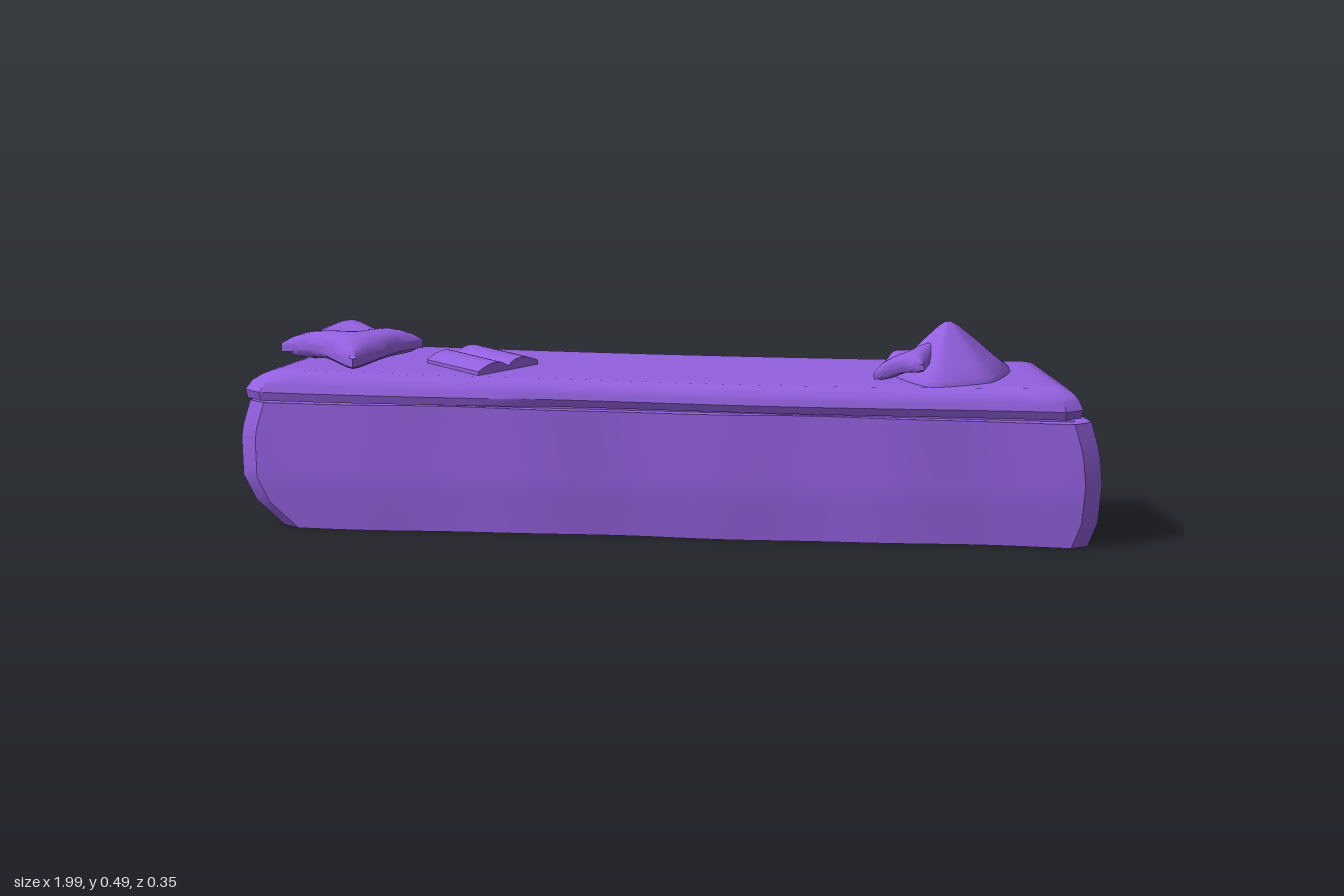
import * as THREE from 'three';
import { toCreasedNormals } from 'three/addons/utils/BufferGeometryUtils.js';

const { lerp, smoothstep } = THREE.MathUtils;
const material = new THREE.MeshStandardMaterial({ color: 0x9360df });

// Reads a height -> value profile given as [height, value] pairs
function profile(points, t) {
  for (let i = 1; i < points.length; i++) {
    const [a, va] = points[i - 1], [b, vb] = points[i];
    if (t <= b) return lerp(va, vb, (t - a) / (b - a));
  }
  return points[points.length - 1][1];
}

// Subdivided unit box whose vertices are moved by rule(u, v, w), each 0..1
function warpedBox(name, segments, rule, crease = 0.6) {
  const geometry = new THREE.BoxGeometry(1, 1, 1, ...segments);
  const p = geometry.attributes.position;
  for (let i = 0; i < p.count; i++) {
    p.setXYZ(i, ...rule(p.getX(i) + 0.5, p.getY(i) + 0.5, p.getZ(i) + 0.5));
  }
  const mesh = new THREE.Mesh(toCreasedNormals(geometry, crease), material);
  mesh.name = name;
  return mesh;
}

// Long block: straight narrow back, wide uneven front, slanted ends
function block(name, { left, right, front, back, height, wave }) {
  return warpedBox(name, [40, 10, 12], (u, v, w) => {
    const corner = 0.04 * smoothstep(w, 0.9, 1);
    const slant = Math.min(1, w / 0.93);
    const backX = 0.8 - (0.18 + profile(back, v));
    const x = lerp(-lerp(backX, profile(left, v) - corner, slant),
      lerp(backX, profile(right, v) - corner, slant), u);
    const z = lerp(profile(back, v), profile(front, v) + wave(x, v), w);
    return [x, height(x, v), z];
  });
}

// Soft pillow with a pinched edge, pulled-out corners and a dented top
function pillow(name, width, depth, thickness, dent) {
  return warpedBox(name, [14, 4, 14], (u, v, w) => {
    const a = 2 * u - 1, b = 2 * w - 1;
    const puff = Math.sqrt(Math.max(0, (1 - a ** 4) * (1 - b ** 4)));
    const hollow = 1 - dent * Math.exp(-5 * (a * a + b * b));
    const y = thickness * (0.35 + (v - 0.5) * (0.3 + 0.9 * puff * (v > 0.5 ? hollow : 0.6)));
    return [
      a * width / 2 * (0.9 + 0.1 * b * b), y + 0.1 * thickness * Math.sin(3 * a + 2 * b),
      b * depth / 2 * (0.9 + 0.1 * a * a)
    ];
  }, 0.9);
}

// Open book: two arched pages meeting in a gutter, extruded along the spine
function openBook(width, length) {
  const h = width / 2;
  const shape = new THREE.Shape();
  shape.moveTo(-h, 0);
  shape.lineTo(h, 0);
  shape.lineTo(h, 0.012);
  shape.quadraticCurveTo(h * 0.35, 0.042, 0, 0.012);
  shape.quadraticCurveTo(-h * 0.35, 0.042, -h, 0.012);
  const geometry = new THREE.ExtrudeGeometry(shape, { depth: length, bevelEnabled: false, curveSegments: 8 });
  geometry.translate(0, 0, -length / 2);
  const mesh = new THREE.Mesh(toCreasedNormals(geometry, 0.5), material);
  mesh.name = 'openBook';
  return mesh;
}

// Peaked blanket: rings between an irregular footprint and the peak
function peakedBlanket() {
  const foot = [[0.76, -0.05], [0.73, 0.07], [0.60, 0.13], [0.52, 0.05], [0.49, -0.02], [0.54, -0.11], [0.60, -0.145], [0.71, -0.14]];
  const curve = new THREE.CatmullRomCurve3(foot.map(([x, z]) => new THREE.Vector3(x, 0, z)), true, 'catmullrom', 0.3);
  const levels = [[1, 0.355], [0.97, 0.375], [0.76, 0.4], [0.46, 0.44], [0.18, 0.475], [0.06, 0.486], [0.001, 0.487]];
  const sides = 32, positions = [], index = [];
  for (const [scale, y] of levels) {
    for (let i = 0; i < sides; i++) {
      const p = curve.getPoint(i / sides);
      positions.push(lerp(0.62, p.x, scale), y, lerp(-0.01, p.z, scale));
    }
  }
  for (let r = 0; r < levels.length - 1; r++) {
    for (let i = 0; i < sides; i++) {
      const a = r * sides + i, b = r * sides + (i + 1) % sides;
      index.push(a, a + sides, b, b, a + sides, b + sides);
    }
  }
  const geometry = new THREE.BufferGeometry();
  geometry.setAttribute('position', new THREE.Float32BufferAttribute(positions, 3));
  geometry.setIndex(index);
  geometry.computeVertexNormals();
  const mesh = new THREE.Mesh(geometry, material);
  mesh.name = 'peakedBlanket';
  return mesh;
}

export function createModel() {
  const model = new THREE.Group();
  model.name = 'cushionedBench';

  // Bench body with bulging ends
  model.add(block('benchBase', {
    left: [[0, 0.9], [0.2, 0.965], [0.4, 0.995], [0.75, 1], [1, 0.98]],
    right: [[0, 0.965], [0.2, 0.99], [0.5, 1], [0.75, 0.995], [1, 0.975]],
    front: [[0, 0.16], [0.4, 0.166], [1, 0.158]],
    back: [[0, -0.18], [1, -0.18]],
    height: (x, v) => v * 0.292,
    wave: (x, v) => 0.006 * Math.sin(7 * x + 2 * v) + 0.003 * Math.sin(15 * x)
  }));

  // Seat cushion with rolled upper edges
  model.add(block('seatCushion', {
    left: [[0, 0.985], [0.3, 0.99], [0.6, 0.975], [0.85, 0.945], [1, 0.905]],
    right: [[0, 0.95], [0.3, 0.955], [0.6, 0.945], [0.85, 0.93], [1, 0.9]],
    front: [[0, 0.155], [0.3, 0.163], [0.6, 0.158], [0.85, 0.148], [1, 0.132]],
    back: [[0, -0.18], [0.7, -0.18], [0.9, -0.174], [1, -0.16]],
    height: (x, v) => 0.298 + v * (0.06 + 0.01 * x * x),
    wave: (x, v) => 0.005 * Math.sin(6 * x) + 0.01 * (1 - smoothstep(x, -0.42, -0.3)) * (1 - v)
  }));

  // Recessed seam joining cushion and base
  model.add(warpedBox('seam', [1, 1, 1], (u, v, w) => [
    (2 * u - 1) * lerp(0.79, 0.93, w), lerp(0.285, 0.305, v), lerp(-0.175, 0.14, w)
  ]));

  // Large pillow lying diagonally
  const large = pillow('largePillow', 0.235, 0.225, 0.068, 0.35);
  large.position.set(-0.755, 0.372, 0);
  large.rotation.y = -0.68;
  model.add(large);

  // Book opened beside the pillow
  const book = openBook(0.185, 0.175);
  book.position.set(-0.455, 0.357, -0.005);
  book.rotation.y = 0.86;
  model.add(book);

  // Small pillow leaning on the blanket
  const small = pillow('smallPillow', 0.13, 0.13, 0.045, 0.2);
  small.position.set(0.54, 0.386, 0.045);
  small.rotation.set(0.1, -0.25, 0.3);
  model.add(small, peakedBlanket());

  return model;
}
